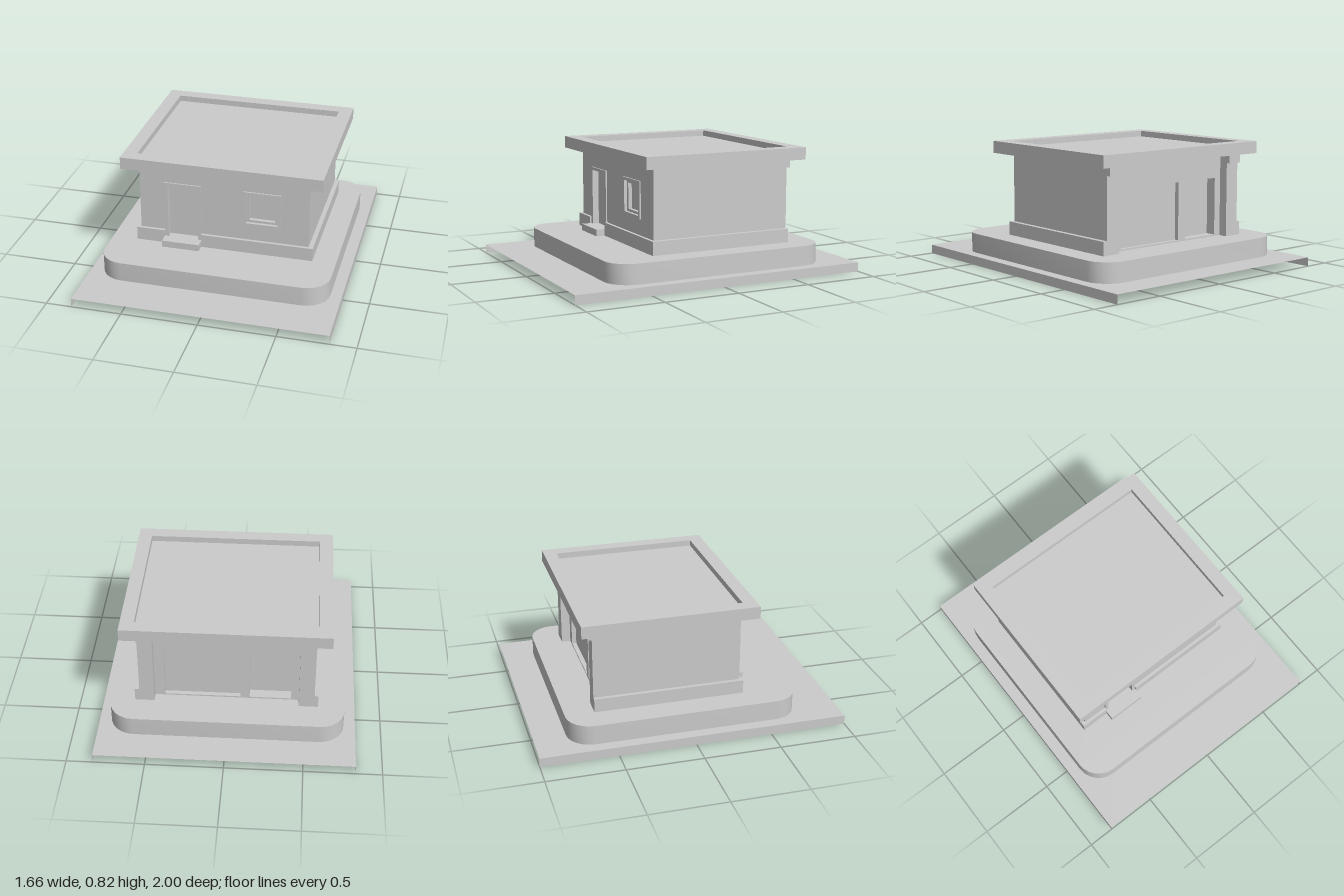
import * as THREE from 'three';
import { toCreasedNormals } from 'three/addons/utils/BufferGeometryUtils.js';

const grey = new THREE.MeshStandardMaterial({ color: 0xcccccc });
const greyDouble = new THREE.MeshStandardMaterial({ color: 0xcccccc, side: THREE.DoubleSide });

// Closed rectangle path; reused for outlines and holes
function rect(path, x0, x1, y0, y1) {
  return path.moveTo(x0, y0).lineTo(x1, y0).lineTo(x1, y1).lineTo(x0, y1).closePath();
}

function roundedRect(x0, x1, y0, y1, r) {
  const s = new THREE.Shape();
  s.moveTo(x0 + r, y0).lineTo(x1 - r, y0);
  s.absarc(x1 - r, y0 + r, r, -Math.PI / 2, 0);
  s.absarc(x1 - r, y1 - r, r, 0, Math.PI / 2);
  s.absarc(x0 + r, y1 - r, r, Math.PI / 2, Math.PI);
  s.absarc(x0 + r, y0 + r, r, Math.PI, Math.PI * 1.5);
  return s;
}

export function createModel() {
  const model = new THREE.Group();
  model.name = 'smallBuilding';

  function add(name, geometry, material = grey) {
    const mesh = new THREE.Mesh(geometry, material);
    mesh.name = name;
    model.add(mesh);
    return mesh;
  }
  function box(name, x0, x1, y0, y1, z0, z1) {
    const g = new THREE.BoxGeometry(x1 - x0, y1 - y0, z1 - z0);
    add(name, g.translate((x0 + x1) / 2, (y0 + y1) / 2, (z0 + z1) / 2));
  }
  // Upright slab from z0 to z1, pierced by [x0, x1, y0, y1] openings
  function slab(name, outline, holes, z0, z1) {
    const shape = rect(new THREE.Shape(), ...outline);
    for (const h of holes) shape.holes.push(rect(new THREE.Path(), ...h));
    const g = new THREE.ExtrudeGeometry(shape, { depth: z1 - z0, bevelEnabled: false });
    add(name, g.translate(0, 0, z0));
  }

  // Ground sheet with a folded-down lip on each side, open at front and back
  const sheet = add('groundSheet', new THREE.PlaneGeometry(1.66, 2).rotateX(-Math.PI / 2), greyDouble);
  sheet.position.y = 0.06;
  for (const s of [-1, 1]) {
    const lip = add('groundLip', new THREE.PlaneGeometry(2, 0.06).rotateY(s * Math.PI / 2), greyDouble);
    lip.position.set(s * 0.83, 0.03, 0);
  }

  // Rounded plinth (drawn in plan, then laid flat)
  const plan = roundedRect(-0.755, 0.755, -0.715, 0.79, 0.16);
  const plinth = new THREE.ExtrudeGeometry(plan, { depth: 0.13, bevelEnabled: false, curveSegments: 3 });
  plinth.rotateX(-Math.PI / 2).translate(0, 0.06, 0);
  add('plinth', toCreasedNormals(plinth, 0.7));

  // Walls: solid core, pierced front wall, pierced and set-back rear wall
  const L = -0.56, R = 0.57, B = 0.19, T = 0.74;
  box('wallCore', L, R, B, T, -0.47, 0.33);
  const doorHole = [-0.37, -0.17, 0.235, 0.61];
  const windowHole = [0.155, 0.365, 0.405, 0.61];
  slab('frontWall', [L, R, B, T], [doorHole, windowHole], 0.33, 0.365);
  const wideBay = [-0.08, 0.41, 0.2, 0.58];
  slab('rearWall', [L, R, B, T], [wideBay, [-0.41, -0.14, 0.2, 0.58]], -0.54, -0.47);
  box('rearWidePanel', ...wideBay, -0.51, -0.47);

  // Front door and window trim
  slab('doorFrame', [-0.395, -0.145, 0.225, 0.63], [doorHole], 0.365, 0.374);
  slab('windowFrame', [0.135, 0.385, 0.385, 0.63], [windowHole], 0.365, 0.375);
  slab('windowSash', windowHole, [[0.175, 0.345, 0.422, 0.593]], 0.33, 0.355);
  box('doorStep', -0.395, -0.145, B, 0.235, 0.36, 0.445);

  // Skirting, interrupted at the front door
  box('skirtingFront', -0.585, -0.395, B, 0.28, 0.36, 0.385);
  box('skirtingFront', -0.145, 0.6, B, 0.28, 0.36, 0.385);
  box('skirtingSide', -0.585, L, B, 0.28, -0.6, 0.36);
  box('skirtingSide', R, 0.6, B, 0.28, -0.6, 0.36);

  // Rear corner piers with projecting caps
  for (const [x0, x1] of [[L, -0.46], [0.475, R]]) {
    box('rearPier', x0, x1, B, T, -0.6, -0.54);
    box('pierCap', x0, x1, 0.68, T, -0.625, -0.6);
  }

  // Flat roof with a raised parapet around a sunken deck
  const rim = rect(new THREE.Shape(), -0.655, 0.667, -0.46, 0.683);
  rim.holes.push(rect(new THREE.Path(), -0.565, 0.578, -0.37, 0.595));
  const parapet = new THREE.ExtrudeGeometry(rim, { depth: 0.08, bevelEnabled: false });
  add('roofParapet', parapet.rotateX(-Math.PI / 2).translate(0, T, 0));
  box('roofDeck', -0.565, 0.578, T, 0.78, -0.595, 0.37);

  return model;
}
